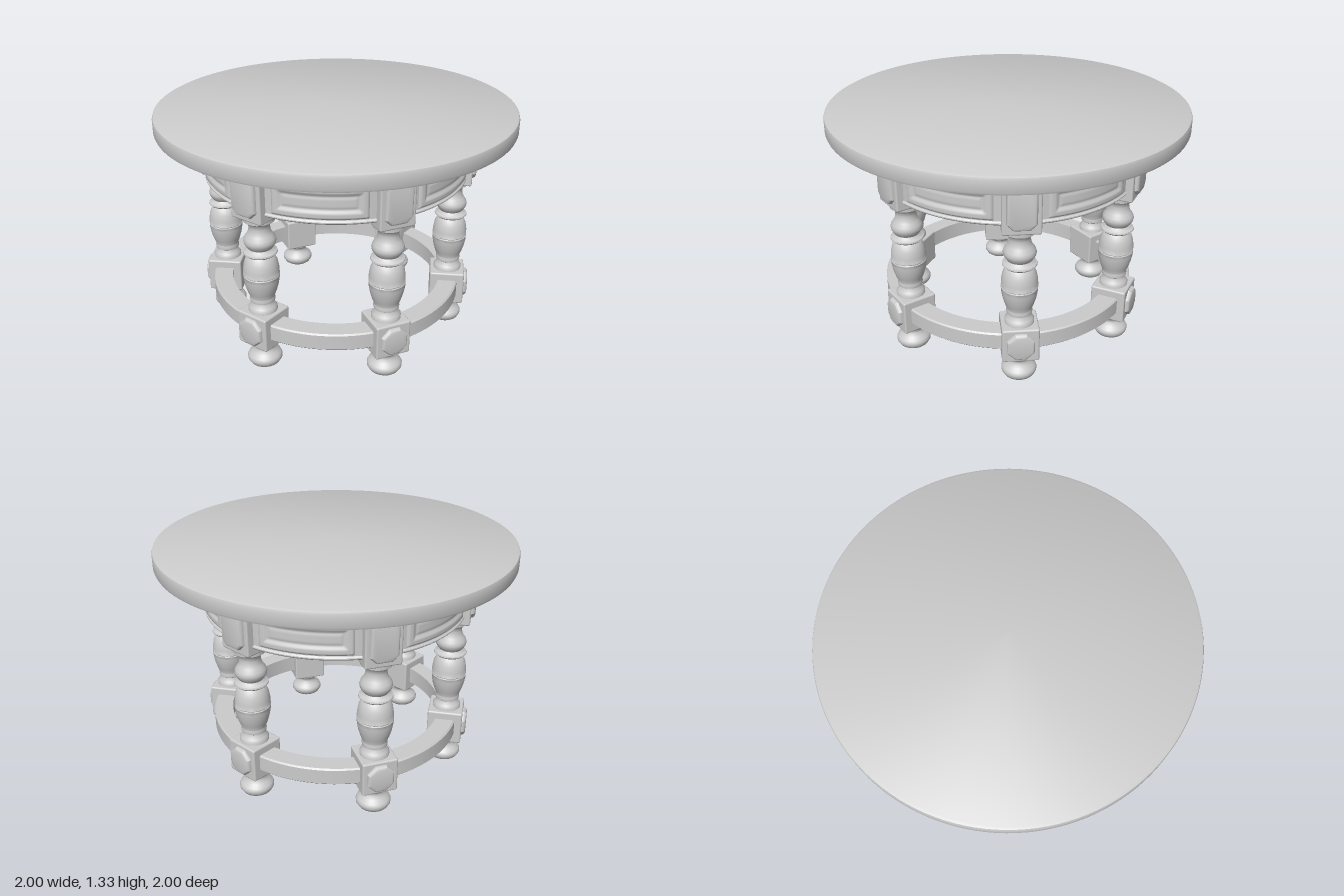
import * as THREE from 'three';
import { RoundedBoxGeometry } from 'three/addons/geometries/RoundedBoxGeometry.js';
import { toCreasedNormals } from 'three/addons/utils/BufferGeometryUtils.js';

const LEGS = 6;
const LEG_RADIUS = 0.67;
const APRON_RADIUS = 0.735;
const material = new THREE.MeshStandardMaterial({ color: 0xcccccc });
const openMaterial = new THREE.MeshStandardMaterial({ color: 0xcccccc, side: THREE.DoubleSide });

function add(parent, name, geometry, x = 0, y = 0, z = 0, mat = material) {
  const mesh = new THREE.Mesh(geometry, mat);
  mesh.name = name;
  mesh.position.set(x, y, z);
  parent.add(mesh);
  return mesh;
}

// Lathe from [radius, height] pairs, with sharp edges kept
function turned(pairs, segments, crease = 0.7) {
  const points = pairs.map(([r, y]) => new THREE.Vector2(r, y));
  return toCreasedNormals(new THREE.LatheGeometry(points, segments), crease);
}

// Hoop of rectangular section with slightly eased edges
function hoop(inner, outer, y0, y1) {
  const e = 0.008;
  return turned([
    [inner, y0], [outer - e, y0], [outer, y0 + e], [outer, y1 - e],
    [outer - e, y1], [inner, y1], [inner, y0],
  ], 96);
}

// Bevelled plaque with cut corners, lying in xy and rising along +z
function plaque(width, height, cut, rise) {
  const bevel = 0.016;
  const w = width / 2 - bevel, h = height / 2 - bevel;
  const shape = new THREE.Shape([
    [-w + cut, -h], [w - cut, -h], [w, -h + cut], [w, h - cut],
    [w - cut, h], [-w + cut, h], [-w, h - cut], [-w, -h + cut],
  ].map(([x, y]) => new THREE.Vector2(x, y)));
  const geometry = new THREE.ExtrudeGeometry(shape, {
    depth: 0.02, bevelThickness: rise, bevelSize: bevel, bevelSegments: 3,
  });
  geometry.translate(0, 0, -0.02);
  return toCreasedNormals(geometry, 0.6);
}

// Height of the panel moulding at distance d from the panel's edge
function mouldingHeight(d) {
  const steps = [[0, -0.004], [0.01, 0.008], [0.035, 0.009], [0.055, -0.002], [0.07, 0.002], [1, 0.002]];
  for (let i = 1; i < steps.length; i++) {
    const [d0, h0] = steps[i - 1], [d1, h1] = steps[i];
    if (d <= d1) return THREE.MathUtils.lerp(h0, h1, (d - d0) / (d1 - d0));
  }
  return 0;
}

// Panel wrapped round the apron, with a moulded frame and sunk middle
function apronPanel(width, height) {
  const geometry = new THREE.PlaneGeometry(width, height, 80, 32);
  const p = geometry.attributes.position;
  for (let i = 0; i < p.count; i++) {
    const x = p.getX(i), y = p.getY(i);
    const d = Math.min(width / 2 - Math.abs(x), height / 2 - Math.abs(y));
    const r = APRON_RADIUS + 0.002 + mouldingHeight(d);
    const a = x / APRON_RADIUS;
    p.setXYZ(i, r * Math.sin(a), y, r * Math.cos(a));
  }
  geometry.computeVertexNormals();
  return geometry;
}

export function createModel() {
  const table = new THREE.Group();
  table.name = 'roundTable';

  // Round top with eased rim
  add(table, 'tableTop', turned([
    [0, 1.235], [0.985, 1.235], [0.996, 1.24], [1, 1.25], [1, 1.312],
    [0.996, 1.324], [0.985, 1.33], [0, 1.33],
  ], 128, 0.5));

  // Apron and stretcher hoops
  add(table, 'apron', hoop(0.655, APRON_RADIUS, 0.95, 1.24));
  add(table, 'apronLowerBead', hoop(0.66, APRON_RADIUS + 0.008, 0.95, 0.972));
  add(table, 'stretcherRing', hoop(0.625, APRON_RADIUS, 0.2, 0.3));

  // Shared leg geometries
  const foot = turned([
    [0, 0], [0.07, 0], [0.084, 0.01], [0.096, 0.03], [0.097, 0.045], [0.09, 0.06],
    [0.07, 0.075], [0.056, 0.092], [0.054, 0.105], [0.06, 0.118],
    [0.073, 0.128], [0.076, 0.15],
  ], 32);
  const baluster = turned([
    [0.08, 0.34], [0.08, 0.36], [0.072, 0.372], [0.06, 0.388], [0.058, 0.398],
    [0.068, 0.405], [0.07, 0.418], [0.066, 0.43], [0.078, 0.46], [0.09, 0.5],
    [0.097, 0.54], [0.098, 0.56], [0.094, 0.565], [0.098, 0.57], [0.097, 0.6],
    [0.09, 0.64], [0.077, 0.672], [0.068, 0.682], [0.082, 0.688], [0.092, 0.698],
    [0.09, 0.706], [0.074, 0.714], [0.066, 0.725], [0.074, 0.736], [0.084, 0.752],
    [0.087, 0.768], [0.082, 0.786], [0.068, 0.806], [0.06, 0.822], [0.056, 0.845],
    [0.059, 0.865], [0.072, 0.88], [0.084, 0.886], [0.085, 0.92],
  ], 32);
  const lowerBlock = new RoundedBoxGeometry(0.2, 0.2, 0.2, 2, 0.01);
  const upperBlock = new RoundedBoxGeometry(0.2, 0.33, 0.2, 2, 0.01);
  const lowerPlaque = plaque(0.15, 0.16, 0.035, 0.022);
  const upperPlaque = plaque(0.155, 0.24, 0.025, 0.022);
  const panel = apronPanel(0.5, 0.18);

  for (let i = 0; i < LEGS; i++) {
    const angle = (i * 2 * Math.PI) / LEGS;

    // Leg with its square blocks, facing outward
    const leg = new THREE.Group();
    leg.name = 'leg';
    leg.position.set(LEG_RADIUS * Math.sin(angle), 0, LEG_RADIUS * Math.cos(angle));
    leg.rotation.y = angle;
    add(leg, 'foot', foot);
    add(leg, 'lowerBlock', lowerBlock, 0, 0.245, 0);
    add(leg, 'lowerPlaque', lowerPlaque, 0, 0.245, 0.1);
    add(leg, 'turnedBaluster', baluster);
    add(leg, 'upperBlock', upperBlock, 0, 1.075, 0);
    add(leg, 'upperPlaque', upperPlaque, 0, 1.06, 0.1);
    table.add(leg);

    // Moulded panel midway between two legs
    const apronPiece = add(table, 'apronPanel', panel, 0, 1.065, 0, openMaterial);
    apronPiece.rotation.y = angle + Math.PI / LEGS;
  }

  return table;
}
